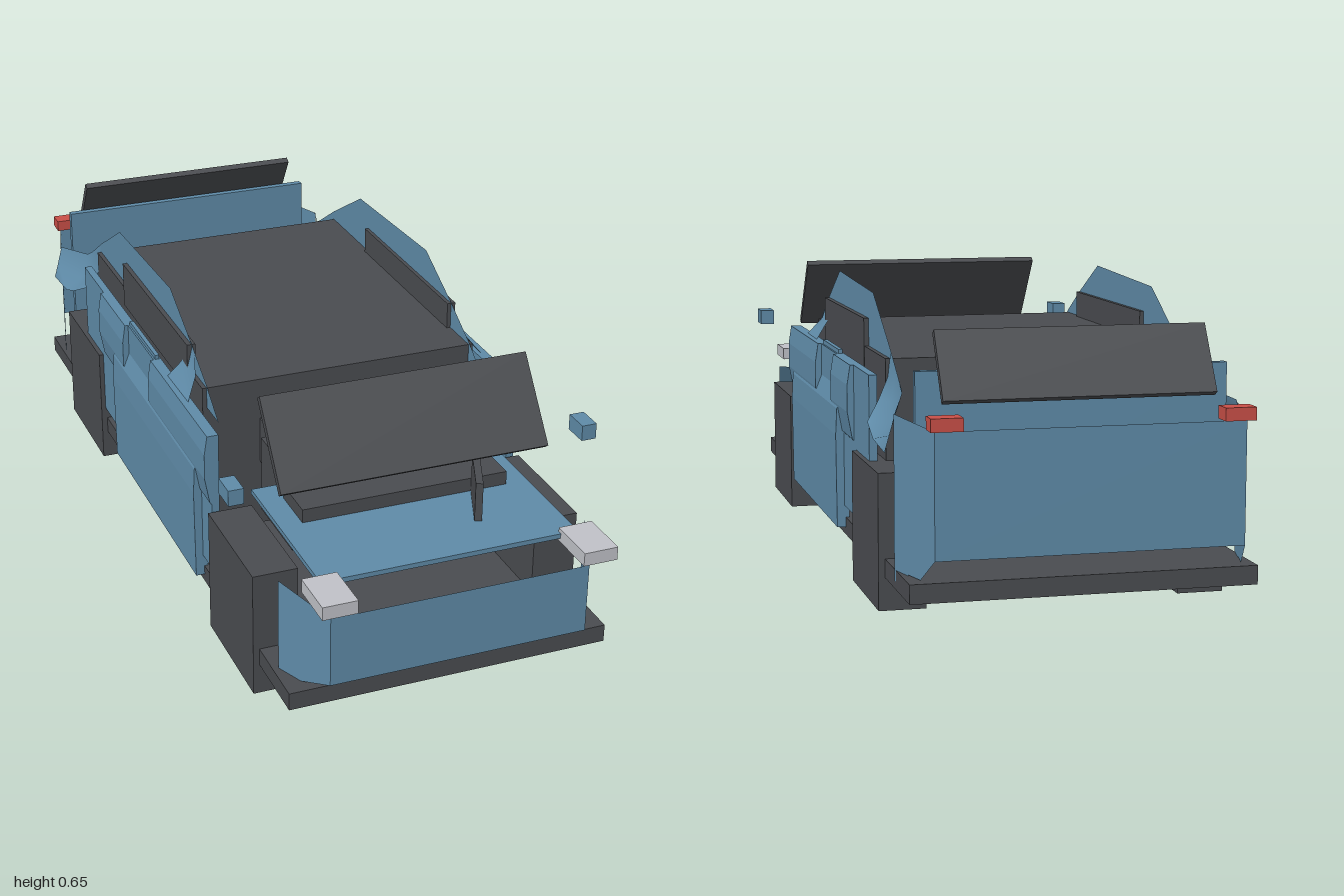
import * as THREE from 'three';

const mat = (name, color, side = THREE.FrontSide) => {
  const m = new THREE.MeshStandardMaterial({ color, side });
  m.name = name;
  return m;
};

export function createModel() {
  const blue = mat('bodyBlue', 0x5f8ba8, THREE.DoubleSide);
  const dark = mat('charcoal', 0x4a4c50);
  const silver = mat('lampSilver', 0xc0c2c8);
  const red = mat('tailRed', 0xc94f47);

  const car = new THREE.Group();
  car.name = 'car';

  const add = (parent, name, geo, material) => {
    const m = new THREE.Mesh(geo, material);
    m.name = name;
    parent.add(m);
    return m;
  };
  // box from min/max limits on each axis
  const box = (parent, name, material, [x0, x1], [y0, y1], [z0, z1]) => {
    const m = add(parent, name, new THREE.BoxGeometry(x1 - x0, y1 - y0, z1 - z0), material);
    m.position.set((x0 + x1) / 2, (y0 + y1) / 2, (z0 + z1) / 2);
    return m;
  };
  const outline = pts => new THREE.Shape(pts.map(p => new THREE.Vector2(...p)));
  // upright sheet drawn in (z, y), with x following z
  const sheet = (parent, name, pts, xAt) => {
    const g = new THREE.ShapeGeometry(outline(pts)).toNonIndexed();
    const p = g.attributes.position;
    for (let i = 0; i < p.count; i++) {
      const z = p.getX(i);
      p.setXYZ(i, xAt(z), p.getY(i), z);
    }
    g.computeVertexNormals();
    return add(parent, name, g, blue);
  };
  // (x, y) section swept along z
  const sweep = (parent, name, pts, z0, z1) => {
    const g = new THREE.ExtrudeGeometry(outline(pts), { depth: z1 - z0, bevelEnabled: false });
    g.translate(0, 0, z0);
    return add(parent, name, g, blue);
  };
  // smooth skin through rows of points
  const skin = (parent, name, rows) => {
    const n = rows[0].length, idx = [];
    for (let i = 0; i < rows.length - 1; i++)
      for (let j = 0; j < n - 1; j++) {
        const a = i * n + j, b = a + n;
        idx.push(a, b, a + 1, b, b + 1, a + 1);
      }
    const g = new THREE.BufferGeometry();
    g.setAttribute('position', new THREE.Float32BufferAttribute(rows.flat(2), 3));
    g.setIndex(idx);
    g.computeVertexNormals();
    return add(parent, name, g, blue);
  };

  // floor and cabin
  box(car, 'floor', dark, [-0.363, 0.363], [0.07, 0.11], [-0.945, 0.91]);
  box(car, 'underTray', dark, [-0.23, 0.23], [0.032, 0.07], [-0.39, 0.415]);
  box(car, 'cabin', dark, [-0.33, 0.33], [0.14, 0.508], [-0.56, 0.28]);
  box(car, 'console', dark, [-0.195, 0.195], [0.3, 0.41], [0.28, 0.335]);
  box(car, 'dashboard', dark, [-0.238, 0.238], [0.322, 0.383], [0.545, 0.66]);
  const lever = add(car, 'steeringPlate', new THREE.BoxGeometry(0.016, 0.137, 0.13), dark);
  lever.position.set(0.136, 0.373, 0.724);
  lever.rotation.y = -0.38;

  // bonnet and tailgate
  box(car, 'bonnet', blue, [-0.29, 0.29], [0.341, 0.352], [0.485, 0.895]);
  box(car, 'tailgate', blue, [-0.328, 0.328], [0.15, 0.516], [-0.84, -0.822]);

  // tilted screens
  const front = add(car, 'windscreen', new THREE.BoxGeometry(0.613, 0.21, 0.016), dark);
  front.position.set(0, 0.54, 0.645);
  front.rotation.x = -0.65;
  const rear = add(car, 'rearScreen', new THREE.BoxGeometry(0.57, 0.155, 0.016), dark);
  rear.position.set(0, 0.526, -0.855);
  rear.rotation.x = 0.545;

  // bumper faces
  sheet(car, 'frontBumper', [[0, 0], [1, 0], [1, 1], [0, 1]], z => z).geometry =
    new THREE.PlaneGeometry(0.58, 0.16).translate(0, 0.22, 0.953);
  add(car, 'rearBumper', new THREE.PlaneGeometry(0.64, 0.255).rotateY(Math.PI).translate(0, 0.2885, -0.98), blue);

  // everything that comes in pairs
  const side = new THREE.Group();
  side.name = 'leftSide';
  for (const [n, z0, z1] of [['frontWheel', 0.447, 0.733], ['rearWheel', -0.705, -0.415]])
    box(side, n, dark, [0.276, 0.377], [0, 0.29], [z0, z1]);
  box(side, 'seat', dark, [0.047, 0.232], [0.24, 0.421], [0.39, 0.583]);
  box(side, 'headlight', silver, [0.25, 0.327], [0.332, 0.362], [0.885, 1]);
  box(side, 'tailLight', red, [0.267, 0.332], [0.418, 0.445], [-1, -0.957]);
  box(side, 'mirror', blue, [0.387, 0.421], [0.457, 0.493], [0.655, 0.715]);
  box(side, 'sideWindow', dark, [0.311, 0.331], [0.46, 0.57], [-0.325, 0.178]);

  // bumper corners
  sheet(side, 'frontBumperCorner',
    [[0.953, 0.3], [0.813, 0.322], [0.813, 0.108], [0.87, 0.108], [0.953, 0.14]],
    z => 0.29 + (0.953 - z) * 0.43);
  sheet(side, 'rearBumperCorner',
    [[-0.98, 0.416], [-0.98, 0.161], [-0.92, 0.112], [-0.87, 0.112], [-0.86, 0.087], [-0.808, 0.087], [-0.808, 0.428]],
    z => 0.32 + (z + 0.98) * 0.26);

  // body side, door and raised upper panels
  box(side, 'bodySide', blue, [0.348, 0.366], [0.138, 0.474], [-0.558, 0.44]);
  sweep(side, 'door', [[0.355, 0.088], [0.383, 0.088], [0.385, 0.3], [0.382, 0.36], [0.366, 0.4], [0.355, 0.4]], -0.26, 0.37);
  const panel = [[0.352, 0.29], [0.37, 0.31], [0.381, 0.37], [0.381, 0.43], [0.374, 0.474], [0.352, 0.474]];
  sweep(side, 'frontUpperPanel', panel, 0.03, 0.44);
  sweep(side, 'rearUpperPanel', panel, -0.385, -0.175);
  box(side, 'doorTop', blue, [0.352, 0.362], [0.4, 0.484], [-0.175, 0.03]);

  // roof rail with pillars
  sheet(side, 'roofRail',
    [[0.36, 0.46], [0.28, 0.515], [0.178, 0.572], [0.03, 0.647], [-0.38, 0.631], [-0.56, 0.53], [-0.68, 0.455], [-0.6, 0.42], [-0.5, 0.45]],
    () => 0.32);
  skin(side, 'pillarFoot', [
    [[0.32, 0.56, 0.2], [0.329, 0.515, 0.23], [0.362, 0.47, 0.27]],
    [[0.32, 0.56, 0.15], [0.332, 0.515, 0.14], [0.364, 0.47, 0.12]],
  ]);

  // hollow rear quarter flaring out over the wheel
  skin(side, 'rearQuarter', [
    [[0.32, 0.525, -0.565], [0.325, 0.47, -0.56], [0.345, 0.42, -0.555]],
    [[0.32, 0.49, -0.62], [0.332, 0.425, -0.62], [0.382, 0.385, -0.62]],
    [[0.322, 0.452, -0.69], [0.342, 0.39, -0.69], [0.384, 0.36, -0.69]],
    [[0.362, 0.432, -0.81], [0.374, 0.385, -0.81], [0.384, 0.35, -0.81]],
  ]);

  const other = side.clone();
  other.name = 'rightSide';
  other.scale.x = -1;
  car.add(side, other);
  return car;
}
